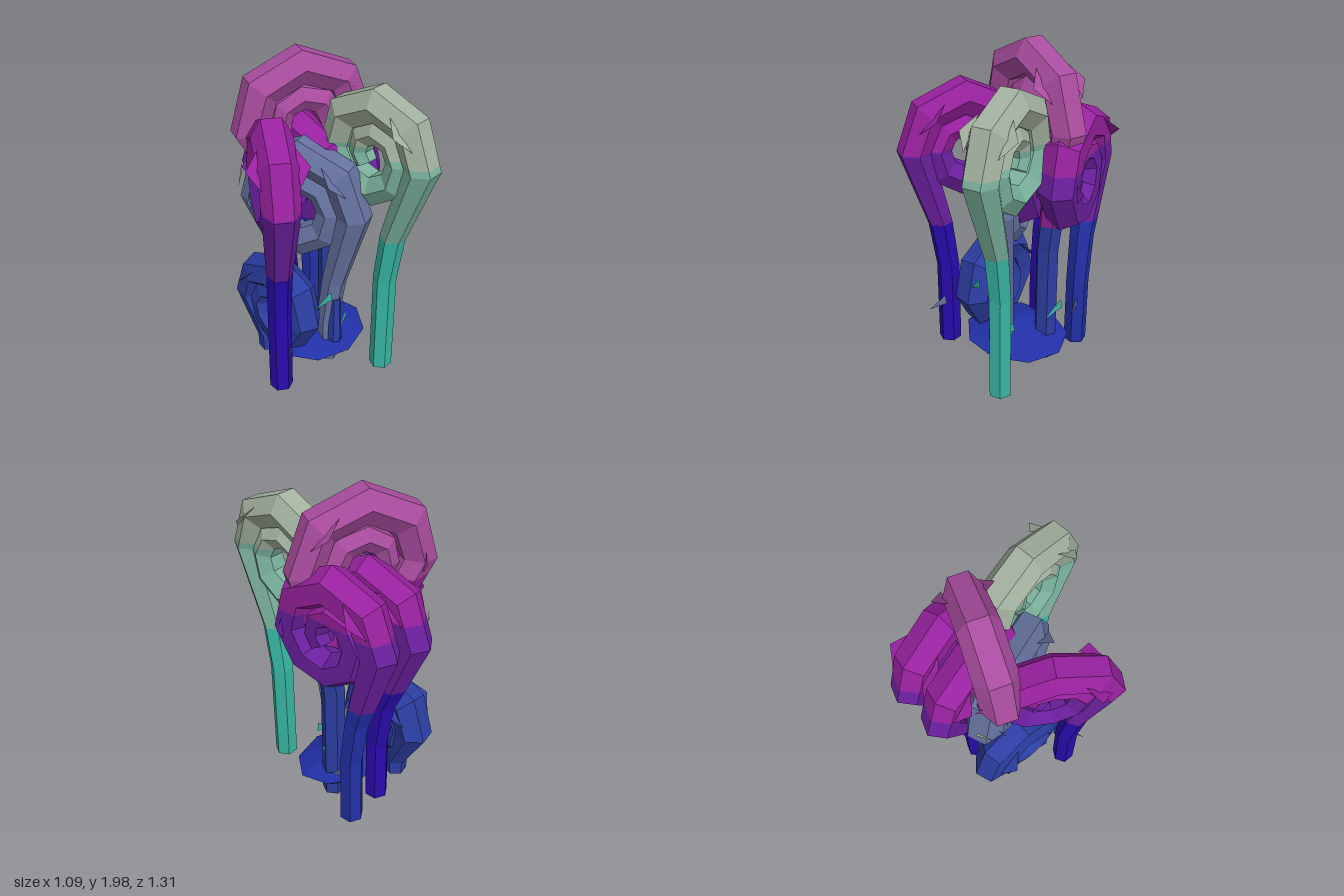
import * as THREE from 'three';

const mat = (name, color) => {
  const m = new THREE.MeshStandardMaterial({ color, side: THREE.DoubleSide, flatShading: true });
  m.name = name;
  return m;
};
const M = {
  teal: mat('teal', 0x38b6a4), sage: mat('sage', 0x7ab09c), grey: mat('greyGreen', 0xa2b09e),
  indigo: mat('indigo', 0x290bae), blue: mat('blue', 0x2c3ea2), royal: mat('royalBlue', 0x2230a6),
  purple: mat('purple', 0x6c20a0), magenta: mat('magenta', 0x98219f), pink: mat('pink', 0xa84c9e),
  slate: mat('slate', 0x66729f),
};

// Spiral distances from the curl centre, one for each 45 degree step
const SPIRAL = [0.3, 0.31, 0.305, 0.29, 0.265, 0.24, 0.215, 0.19, 0.17, 0.155, 0.14, 0.125, 0.11, 0.1];

// Keep the part of a polygon on one side of a height
function clip(poly, y, sign) {
  const out = [];
  poly.forEach((a, i) => {
    const b = poly[(i + 1) % poly.length];
    const da = (a.y - y) * sign, db = (b.y - y) * sign;
    if (da >= 0) out.push(a);
    if (da * db < 0) out.push(a.clone().lerp(b, da / (da - db)));
  });
  return out;
}

// Mesh made of the slice of all polygons between two heights
function band(name, polys, lo, hi, material) {
  const pos = [];
  for (const p of polys) {
    const q = clip(clip(p, lo, 1), hi, -1);
    for (let i = 1; i + 1 < q.length; i++) for (const v of [q[0], q[i], q[i + 1]]) pos.push(v.x, v.y, v.z);
  }
  const g = new THREE.BufferGeometry();
  g.setAttribute('position', new THREE.Float32BufferAttribute(pos, 3));
  g.computeVertexNormals();
  const mesh = new THREE.Mesh(g, material);
  mesh.name = name;
  return mesh;
}

// One curled frond: hexagonal stem rolling into a spiral in a vertical plane
function frond({ name, x, z, dir, yc, off, size = 1, thick = 1, roll = 0, cuts, mats }) {
  const d = new THREE.Vector3(dir[0], 0, dir[1]).normalize();
  const up = new THREE.Vector3(0, 1, 0);
  const B = d.clone().cross(up);
  const path = [[0, 0.02, 0.07]];
  if (yc > 0.85) path.push([0, yc - 0.78, 0.07], [0.04, yc - 0.48, 0.075]);
  else path.push([0, 0.12, 0.075]);
  SPIRAL.forEach((r, i) => {
    const a = i * Math.PI / 4;
    const tube = i < 4 ? 0.1 + 0.004 * i : 0.112 - (i - 3) * 0.005;
    path.push([-off + Math.cos(a) * r * size, yc + Math.sin(a) * r * size, tube * thick]);
  });
  const P = path.map(([u, y]) => new THREE.Vector3(x, y, z).addScaledVector(d, u));
  const T = P.map((p, i) => {
    const t = new THREE.Vector3();
    if (i > 0) t.add(p.clone().sub(P[i - 1]).normalize());
    if (i < P.length - 1) t.add(P[i + 1].clone().sub(p).normalize());
    return t.normalize();
  });
  T[0].copy(up);
  const rings = P.map((p, i) => {
    const N = B.clone().cross(T[i]);
    return [0, 1, 2, 3, 4, 5].map((j) => {
      const a = (j + 0.5) * Math.PI / 3 + roll, r = path[i][2];
      return p.clone().addScaledVector(N, Math.cos(a) * r).addScaledVector(B, Math.sin(a) * r);
    });
  });
  const polys = [[...rings[0]].reverse(), rings[rings.length - 1]];
  for (let i = 0; i + 1 < rings.length; i++) for (let j = 0; j < 6; j++) {
    const k = (j + 1) % 6;
    polys.push([rings[i][j], rings[i][k], rings[i + 1][k], rings[i + 1][j]]);
  }
  // Small pointed leaflets on both flanks, larger on the outer turn
  const first = P.length - SPIRAL.length;
  for (const [step, len, out] of [[1, 0.11, 0.07], [4, 0.06, 0.04]]) for (const s of [-1, 1]) {
    const i = first + step;
    const edge = P[i].clone().addScaledVector(B, s * path[i][2] * 0.9);
    polys.push([
      edge.clone().addScaledVector(T[i], len), edge.clone().addScaledVector(T[i], -len),
      edge.clone().addScaledVector(B, s * out),
    ]);
  }
  const group = new THREE.Group();
  group.name = name;
  const levels = [-1, ...cuts, 3];
  const labels = mats.length > 1 ? ['Stem', 'LowerCurl', 'UpperCurl'] : ['Whole'];
  mats.forEach((m, i) => group.add(band(name + labels[i], polys, levels[i], levels[i + 1], m)));
  return group;
}

export function createModel() {
  const root = new THREE.Group();
  root.name = 'curledFernCluster';

  const ridge = Math.PI / 6;
  const fronds = [
    { name: 'greenFrond', x: 0.25, z: 0.37, dir: [0.05, 1], yc: 1.46, off: 0.1, thick: 1.04, cuts: [0.97, 1.5], mats: [M.teal, M.sage, M.grey] },
    { name: 'rightFrond', x: -0.325, z: 0.06, dir: [-0.58, 0.81], yc: 1.34, off: 0.12, thick: 1.06, cuts: [0.87, 1.35], mats: [M.indigo, M.purple, M.magenta] },
    { name: 'leftFrond', x: 0.37, z: -0.35, dir: [-0.12, -1], yc: 1.24, off: 0.12, thick: 1.1, roll: ridge, cuts: [0.87, 1.35], mats: [M.royal, M.purple, M.magenta] },
    { name: 'backFrond', x: 0.125, z: -0.32, dir: [-0.1, -1], yc: 1.21, off: 0.08, thick: 1.1, roll: ridge, cuts: [0.87, 1.35], mats: [M.indigo, M.purple, M.magenta] },
    { name: 'tallFrond', x: 0.28, z: -0.11, dir: [0.9, 0.43], yc: 1.555, off: 0.185, size: 1.13, thick: 1.05, cuts: [0.95, 1.46], mats: [M.blue, M.magenta, M.pink] },
    { name: 'slateFrond', x: 0.08, z: 0.07, dir: [0.3, 0.95], yc: 1.09, off: 0.17, size: 1.1, thick: 1.05, cuts: [], mats: [M.slate] },
    { name: 'shortFrond', x: -0.115, z: -0.26, dir: [0.05, -1], yc: 0.4, off: 0.1, size: 0.8, thick: 1.12, roll: 0.3, cuts: [], mats: [M.blue] },
  ];
  for (const f of fronds) root.add(frond(f));

  // Low faceted base leaf around the stems, tipped towards the front
  const profile = [[0, 0], [0.27, 0], [0.32, 0.04], [0.16, 0.1], [0, 0.14]].map((p) => new THREE.Vector2(...p));
  const base = new THREE.Mesh(new THREE.LatheGeometry(profile, 9), M.royal);
  base.name = 'baseLeaf';
  base.scale.set(1.05, 1, 0.85);
  base.position.set(0.11, 0.11, -0.05);
  base.rotation.x = 0.12;
  root.add(base);

  // Short shoot in front of the slate stem
  const shoot = new THREE.Mesh(new THREE.CylinderGeometry(0.035, 0.045, 0.32, 6), M.blue);
  shoot.name = 'shortShoot';
  shoot.position.set(0.075, 0.34, 0.135);
  root.add(shoot);

  // Loose leaflets: position, turn, material
  const loose = [
    [-0.34, 0.31, 0.15, 0.5, M.slate], [-0.05, 0.55, 0.16, -0.5, M.teal], [0.35, 0.37, -0.1, 1.0, M.teal],
    [0.15, 0.28, 0.13, 0.2, M.teal], [0.4, 0.32, -0.27, 1.5, M.slate], [-0.14, 1.22, -0.44, 0.6, M.grey],
  ];
  const leaf = new THREE.Shape([[-0.06, -0.05], [0.05, 0], [0.04, 0.06]].map((p) => new THREE.Vector2(...p)));
  const leafGeo = new THREE.ShapeGeometry(leaf);
  loose.forEach(([x, y, z, turn, m]) => {
    const l = new THREE.Mesh(leafGeo, m);
    l.name = 'looseLeaflet';
    l.position.set(x, y, z);
    l.rotation.y = turn;
    root.add(l);
  });
  return root;
}
